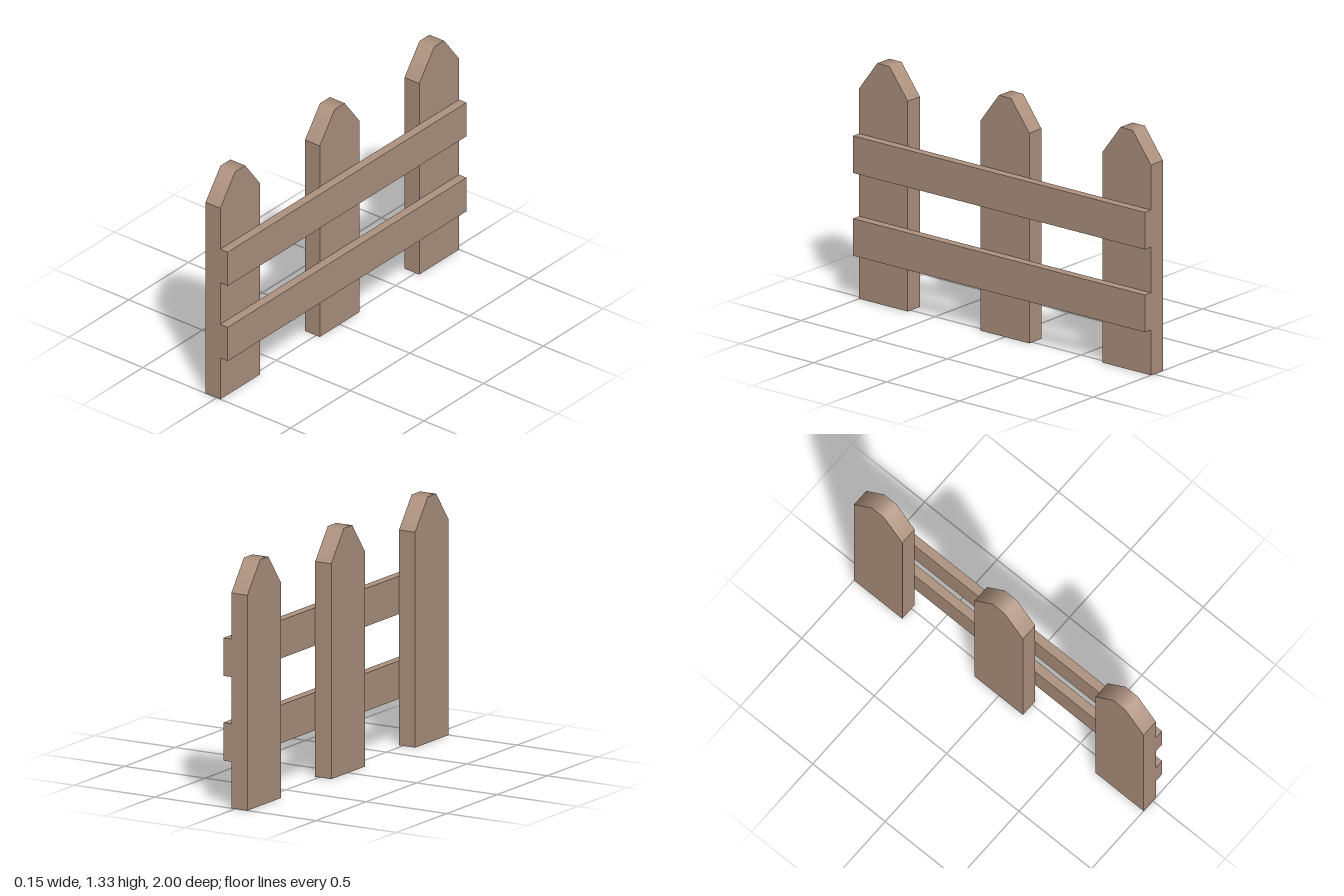
import * as THREE from 'three';

const wood = new THREE.MeshStandardMaterial({ color: 0xae927f });
wood.name = 'wood';

const HALF = 1 / 6, SHOULDER = 1.167, TOP = 1.333, TIP = 0.042;

// Upright board with a clipped point; its crown is softly shaded
function picketGeometry() {
  const shape = new THREE.Shape([
    [-HALF, 0], [HALF, 0], [HALF, SHOULDER], [TIP, TOP], [-TIP, TOP], [-HALF, SHOULDER],
  ].map(([x, y]) => new THREE.Vector2(x, y)));
  const geo = new THREE.ExtrudeGeometry(shape, { depth: 0.1, bevelEnabled: false });
  geo.rotateY(Math.PI / 2);
  geo.translate(-0.075, 0, 0);

  // Blend the normals where the slopes meet the flat tip
  const slope = new THREE.Vector2(TOP - SHOULDER, HALF - TIP).normalize();
  const soft = new THREE.Vector2(slope.x, slope.y + 1).normalize();
  const pos = geo.attributes.position, normal = geo.attributes.normal;
  for (let i = 0; i < pos.count; i++) {
    if (pos.getY(i) > TOP - 0.01 && Math.abs(normal.getX(i)) < 0.5) {
      normal.setXYZ(i, 0, soft.y, Math.sign(pos.getZ(i)) * soft.x);
    }
  }
  return geo;
}

export function createModel() {
  const fence = new THREE.Group();
  fence.name = 'fence';

  // Three pickets
  const picket = picketGeometry();
  [['frontPicket', 1 - HALF], ['middlePicket', 0], ['backPicket', HALF - 1]].forEach(([name, z]) => {
    const mesh = new THREE.Mesh(picket, wood);
    mesh.name = name;
    mesh.position.z = z;
    fence.add(mesh);
  });

  // Two rails across the left side
  const rail = new THREE.BoxGeometry(0.05, 0.206, 2);
  [['lowerRail', 0.355], ['upperRail', 0.814]].forEach(([name, y]) => {
    const mesh = new THREE.Mesh(rail, wood);
    mesh.name = name;
    mesh.position.set(0.05, y, 0);
    fence.add(mesh);
  });

  return fence;
}
